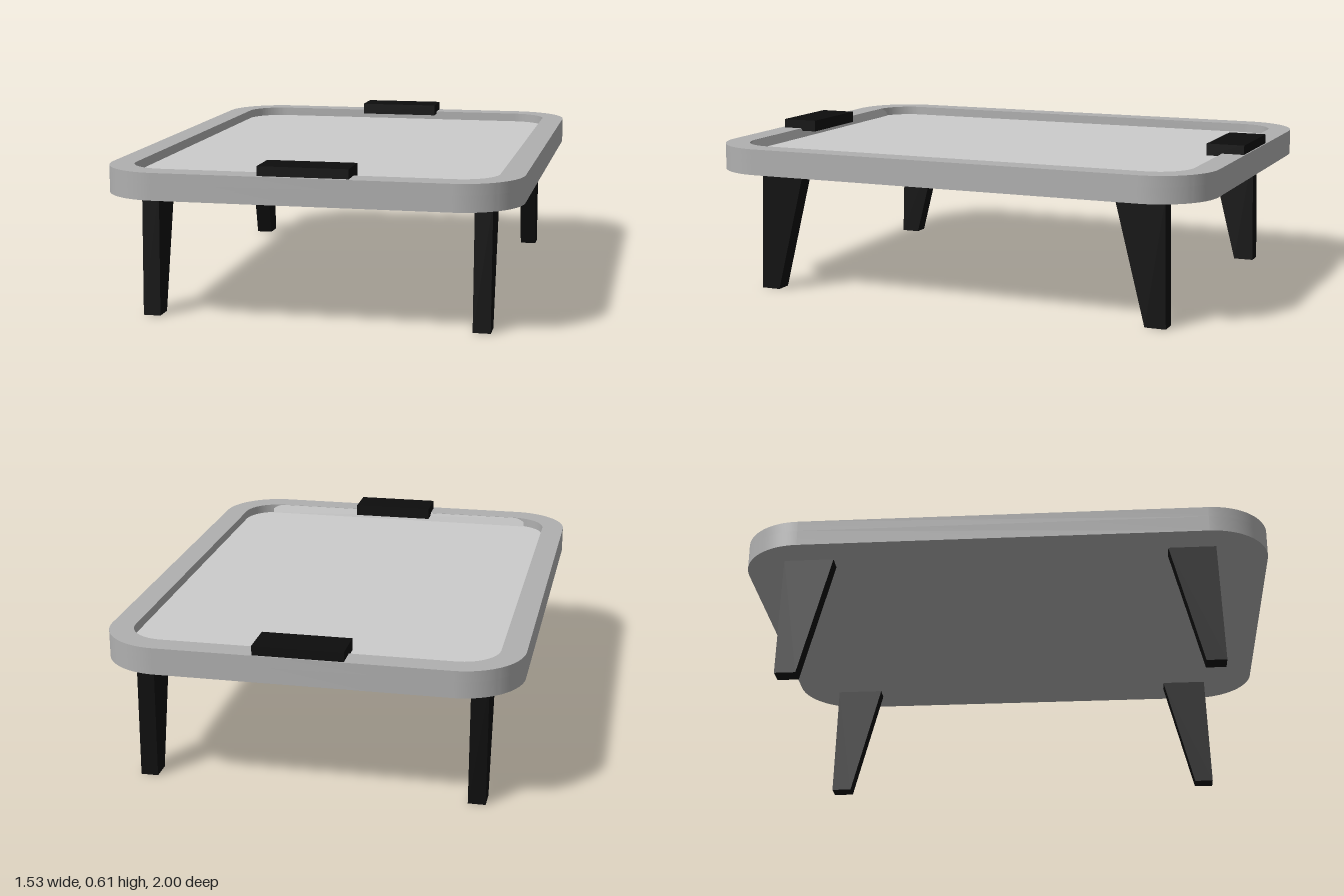
import * as THREE from 'three';
import { toCreasedNormals } from 'three/addons/utils/BufferGeometryUtils.js';

const frameMat = new THREE.MeshStandardMaterial({ color: 0xb0b0b0 });
const panelMat = new THREE.MeshStandardMaterial({ color: 0xcccccc });
const blackMat = new THREE.MeshStandardMaterial({ color: 0x0d0d0d });

// Rounded rectangle; z0..z1 is the extent in depth (shape y = -z)
function roundedRect(Type, x0, x1, z0, z1, r) {
  const s = new Type(), a = -z1, b = -z0;
  s.moveTo(x0 + r, a);
  s.lineTo(x1 - r, a);
  s.absarc(x1 - r, a + r, r, -Math.PI / 2, 0);
  s.lineTo(x1, b - r);
  s.absarc(x1 - r, b - r, r, 0, Math.PI / 2);
  s.lineTo(x0 + r, b);
  s.absarc(x0 + r, b - r, r, Math.PI / 2, Math.PI);
  s.lineTo(x0, a + r);
  s.absarc(x0 + r, a + r, r, Math.PI, Math.PI * 1.5);
  return s;
}

// Flat plate lying between heights y0 and y1
function plate(shape, y0, y1) {
  const g = new THREE.ExtrudeGeometry(shape, { depth: y1 - y0, bevelEnabled: false, curveSegments: 16 });
  g.rotateX(-Math.PI / 2).translate(0, y0, 0);
  return toCreasedNormals(g, 0.5);
}

// Bar along x with a cross-section of [z, y] points
function bar(points, x0, x1) {
  const s = new THREE.Shape(points.map(([z, y]) => new THREE.Vector2(-z, y)));
  const g = new THREE.ExtrudeGeometry(s, { depth: x1 - x0, bevelEnabled: false });
  return g.rotateY(Math.PI / 2).translate(x0, 0, 0);
}

export function createModel() {
  const group = new THREE.Group();
  const add = (name, geometry, material) => {
    const mesh = new THREE.Mesh(geometry, material);
    mesh.name = name;
    group.add(mesh);
  };

  // Tray: base slab, raised rim and sunken panel
  const floorY = 0.535, topY = 0.57;
  add('trayBase', plate(roundedRect(THREE.Shape, -0.765, 0.765, -1, 1, 0.23), 0.47, 0.53), frameMat);
  const rim = roundedRect(THREE.Shape, -0.765, 0.765, -1, 1, 0.23);
  rim.holes.push(roundedRect(THREE.Path, -0.675, 0.675, -0.91, 0.905, 0.14));
  add('trayRim', plate(rim, 0.53, topY), frameMat);
  add('trayPanel', plate(roundedRect(THREE.Shape, -0.675, 0.675, -0.91, 0.905, 0.14), 0.53, floorY), panelMat);

  // Steep strip along the front inner edge
  add('innerFrontLip', bar([[0.89, floorY], [0.905, floorY], [0.905, topY - 0.001]], -0.58, 0.58), frameMat);

  // Grips on the two short edges
  for (const [name, z] of [['frontHandle', 0.9125], ['backHandle', -0.9225]]) {
    const g = new THREE.BoxGeometry(0.33, 0.045, 0.145).translate(0.01, 0.5825, z);
    add(name, g, blackMat);
  }

  // Tapered legs, inner face sloping outwards to the foot
  const front = [[0.62, 0.472], [0.8, 0.472], [0.815, 0], [0.74, 0]];
  const back = [[-0.65, 0.472], [-0.84, 0.472], [-0.85, 0], [-0.77, 0]];
  for (const [side, x0, x1] of [['Right', -0.645, -0.58], ['Left', 0.59, 0.655]]) {
    add('frontLeg' + side, bar(front, x0, x1), blackMat);
    add('backLeg' + side, bar(back, x0, x1), blackMat);
  }
  return group;
}
